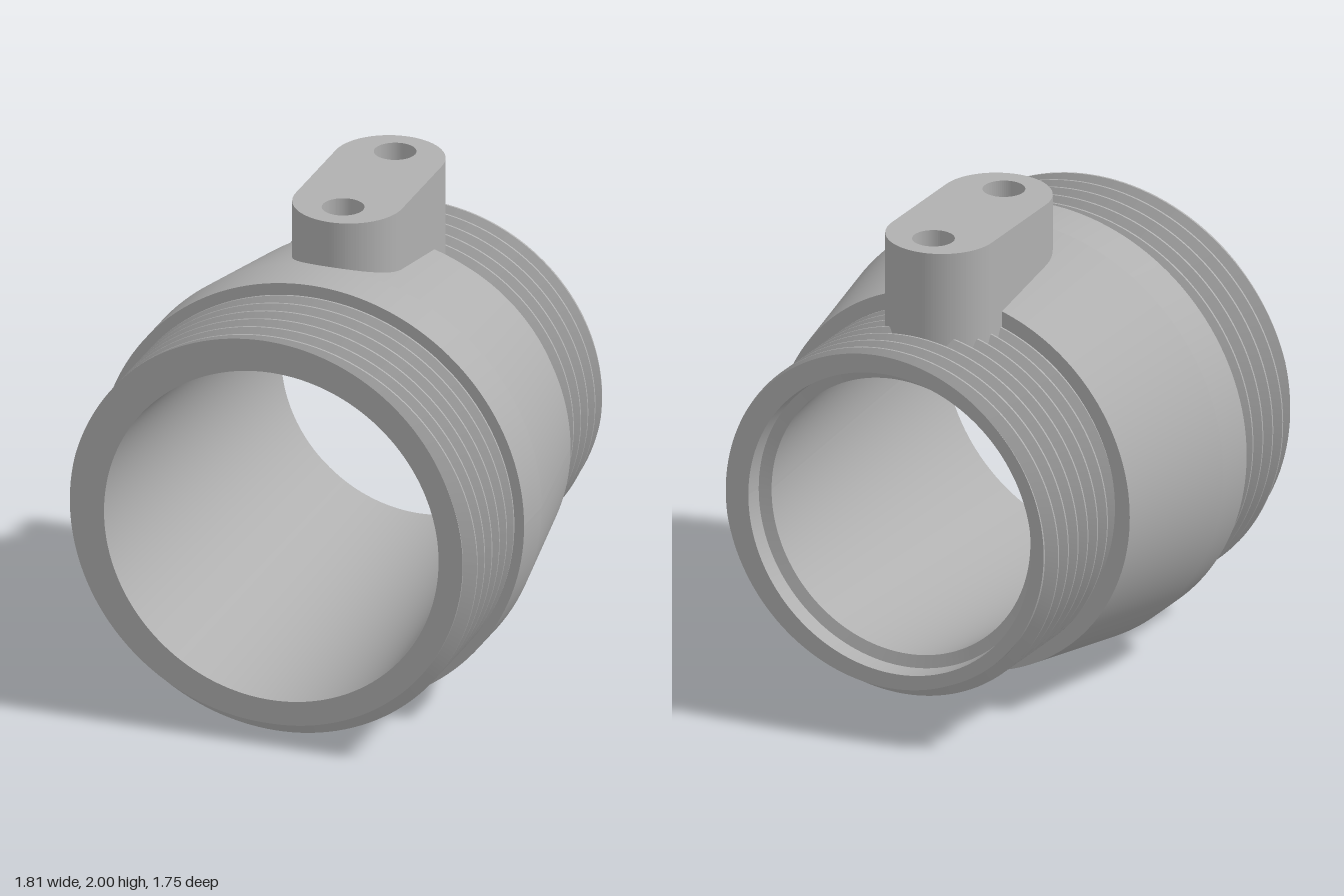
import * as THREE from 'three';

const AXIS_Y = 0.903, END = 0.877, SEG = 144;

// Surface of rings around z. Each station maps an angle to [radius, z];
// every pair of neighbouring stations becomes its own crisp-edged strip.
function ringSurface(stations) {
  const pos = [], idx = [];
  for (let s = 0; s < stations.length - 1; s++) {
    const base = pos.length / 3;
    for (let i = 0; i <= SEG; i++) {
      const a = (i / SEG) * Math.PI * 2;
      for (const st of [stations[s], stations[s + 1]]) {
        const [r, z] = st(a);
        pos.push(r * Math.cos(a), r * Math.sin(a), z);
      }
      if (i < SEG) {
        const k = base + i * 2;
        idx.push(k, k + 2, k + 3, k, k + 3, k + 1);
      }
    }
  }
  const g = new THREE.BufferGeometry();
  g.setAttribute('position', new THREE.Float32BufferAttribute(pos, 3));
  g.setIndex(idx);
  g.computeVertexNormals();
  return g;
}

const fixed = (r, z) => () => [r, z];

// Helical thread clipped to z0..z1; crestZ is a crest position at the top
function threadStations(root, crest, pitch, crestZ, z0, z1) {
  const flat = pitch * 0.05, foot = pitch * 0.34;
  const centre = (a) => crestZ + pitch * (a / (Math.PI * 2) - 0.25);
  const radius = (z, a) => {
    const t = (z - centre(a)) / pitch;
    const d = Math.abs(t - Math.round(t)) * pitch;
    return THREE.MathUtils.lerp(crest, root, THREE.MathUtils.clamp((d - flat) / (foot - flat), 0, 1));
  };
  const at = (zOf) => (a) => {
    const z = THREE.MathUtils.clamp(zOf(a), z0, z1);
    return [radius(z, a), z];
  };
  const list = [at(() => z0)];
  const first = Math.floor((z0 - crestZ) / pitch) - 1;
  const last = Math.ceil((z1 - crestZ) / pitch) + 1;
  for (let n = first; n <= last; n++) {
    for (const o of [-foot, -flat, flat, foot]) list.push(at((a) => centre(a) + n * pitch + o));
  }
  list.push(at(() => z1));
  return list;
}

export function createModel() {
  const model = new THREE.Group();
  const grey = new THREE.MeshStandardMaterial({ color: 0xb0b0b0 });
  grey.name = 'grey';
  const add = (name, geometry, y = AXIS_Y) => {
    const m = new THREE.Mesh(geometry, grey);
    m.name = name;
    m.position.y = y;
    model.add(m);
    return m;
  };

  // Tapered collar with flat shoulders
  add('collar', ringSurface([
    fixed(0.66, -0.36), fixed(0.803, -0.36), fixed(0.903, 0.23), fixed(0.903, 0.427), fixed(0.78, 0.427),
  ]));

  // Large thread with its front end face
  add('frontThread', ringSurface([
    ...threadStations(0.812, 0.862, 0.0825, 0.864, 0.42, END), fixed(0.71, END),
  ]));

  // Small thread with its rear end face
  add('rearThread', ringSurface([
    fixed(0.64, -END), ...threadStations(0.695, 0.742, 0.081, -0.859, -END, -0.35),
  ]));

  // Tapered bore ending in a shallow rear counterbore
  add('bore', ringSurface([
    fixed(0.71, END), fixed(0.585, -0.785), fixed(0.635, -0.8), fixed(0.64, -END),
  ]));

  // Rounded mounting block, shape drawn in x and -z then stood upright
  const W = 0.225, zBack = -0.67, zFront = 0.23, top = 2, bottom = 1.53;
  const shape = new THREE.Shape();
  shape.absarc(0, -(zBack + W), W, 0, Math.PI);
  shape.absarc(0, -(zFront - W), W, Math.PI, Math.PI * 2);
  shape.closePath();
  const holes = [-0.515, 0.07], holeR = 0.085;
  for (const z of holes) {
    const p = new THREE.Path();
    p.absarc(0, -z, holeR, 0, Math.PI * 2, true);
    shape.holes.push(p);
  }
  const block = new THREE.ExtrudeGeometry(shape, { depth: top - bottom, bevelEnabled: false, curveSegments: 32 });
  block.rotateX(-Math.PI / 2);
  // Slope the hidden underside so it stays inside the tapered wall
  const p = block.attributes.position;
  for (let i = 0; i < p.count; i++) {
    if (p.getY(i) < 0.01) p.setY(i, (p.getZ(i) - zBack) * 0.12);
  }
  add('mountingBlock', block, bottom);

  // Floors of the two blind holes
  for (const z of holes) {
    const floor = new THREE.CircleGeometry(holeR, 48);
    floor.rotateX(-Math.PI / 2);
    add('holeFloor', floor, 1.76).position.z = z;
  }
  return model;
}
